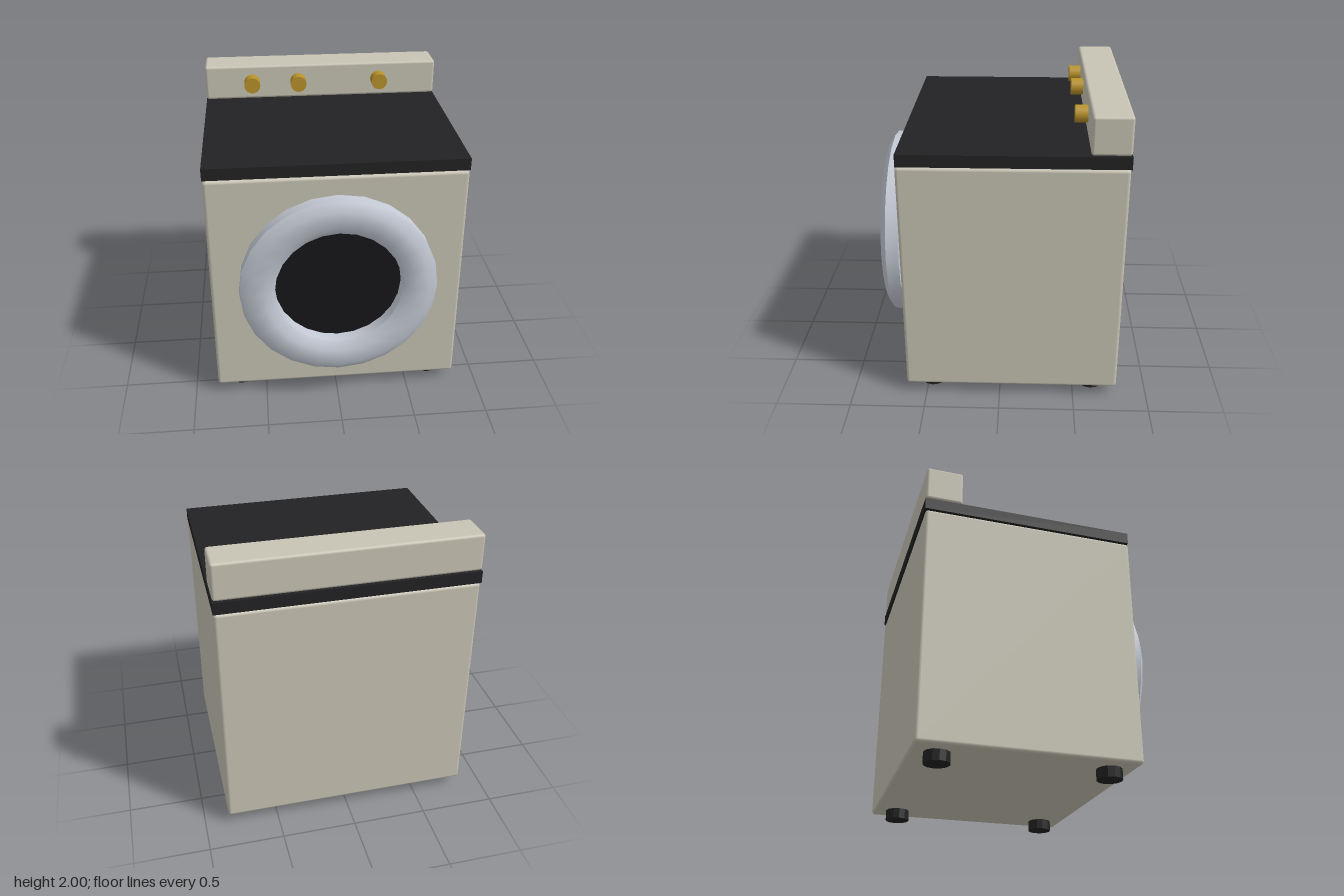
import * as THREE from 'three';
import { RoundedBoxGeometry } from 'three/addons/geometries/RoundedBoxGeometry.js';
import { toCreasedNormals } from 'three/addons/utils/BufferGeometryUtils.js';

const paint = (color) => new THREE.MeshStandardMaterial({ color });

export function createModel() {
  const model = new THREE.Group();
  const enamel = paint(0xc8c4b4);
  const black = paint(0x222224);
  const brass = paint(0xb8922a);
  const chrome = paint(0xc3c9d4);
  const glass = paint(0x17171a);
  const teal = paint(0x1f4a4a);

  const add = (name, geometry, material, x, y, z) => {
    const mesh = new THREE.Mesh(geometry, material);
    mesh.name = name;
    mesh.position.set(x, y, z);
    model.add(mesh);
    return mesh;
  };
  // Cylinder whose axis runs along z
  const disc = (radius, depth, sides) =>
    new THREE.CylinderGeometry(radius, radius, depth, sides).rotateX(Math.PI / 2);

  // Cabinet, worktop and rear control panel
  add('cabinet', new RoundedBoxGeometry(1.68, 1.595, 1.43, 2, 0.022), enamel, 0, 0.8675, -0.08);
  add('worktop', new THREE.BoxGeometry(1.684, 0.08, 1.43), black, 0, 1.71, -0.085);
  add('controlPanel', new RoundedBoxGeometry(1.68, 0.245, 0.247, 2, 0.018), enamel, 0, 1.8775, -0.6735);

  // Control knobs
  for (const x of [-0.505, -0.17, 0.42]) {
    add('knob', disc(0.057, 0.1, 24), brass, x, 1.88, -0.517);
  }

  // Door ring: straight walls with a bevelled front
  const profile = [
    [0.42, 0], [0.65, 0], [0.65, 0.085], [0.59, 0.125],
    [0.48, 0.125], [0.42, 0.085], [0.42, 0],
  ].map(([r, h]) => new THREE.Vector2(r, h));
  const ring = new THREE.LatheGeometry(profile, 24).rotateX(Math.PI / 2);
  add('doorRing', toCreasedNormals(ring, 0.8), chrome, 0, 0.91, 0.675);

  // Door window and the smaller pane behind it
  add('doorWindow', disc(0.44, 0.012, 24), glass, 0, 0.91, 0.672);
  add('innerPane', disc(0.335, 0.012, 24), teal, 0, 0.91, 0.661);

  // Feet
  for (const x of [-0.677, 0.677]) {
    for (const z of [0.467, -0.628]) {
      const foot = add('foot', new THREE.CylinderGeometry(0.083, 0.083, 0.075, 12), black, x, 0.0375, z);
      foot.geometry = toCreasedNormals(foot.geometry, 0.4);
    }
  }
  return model;
}
